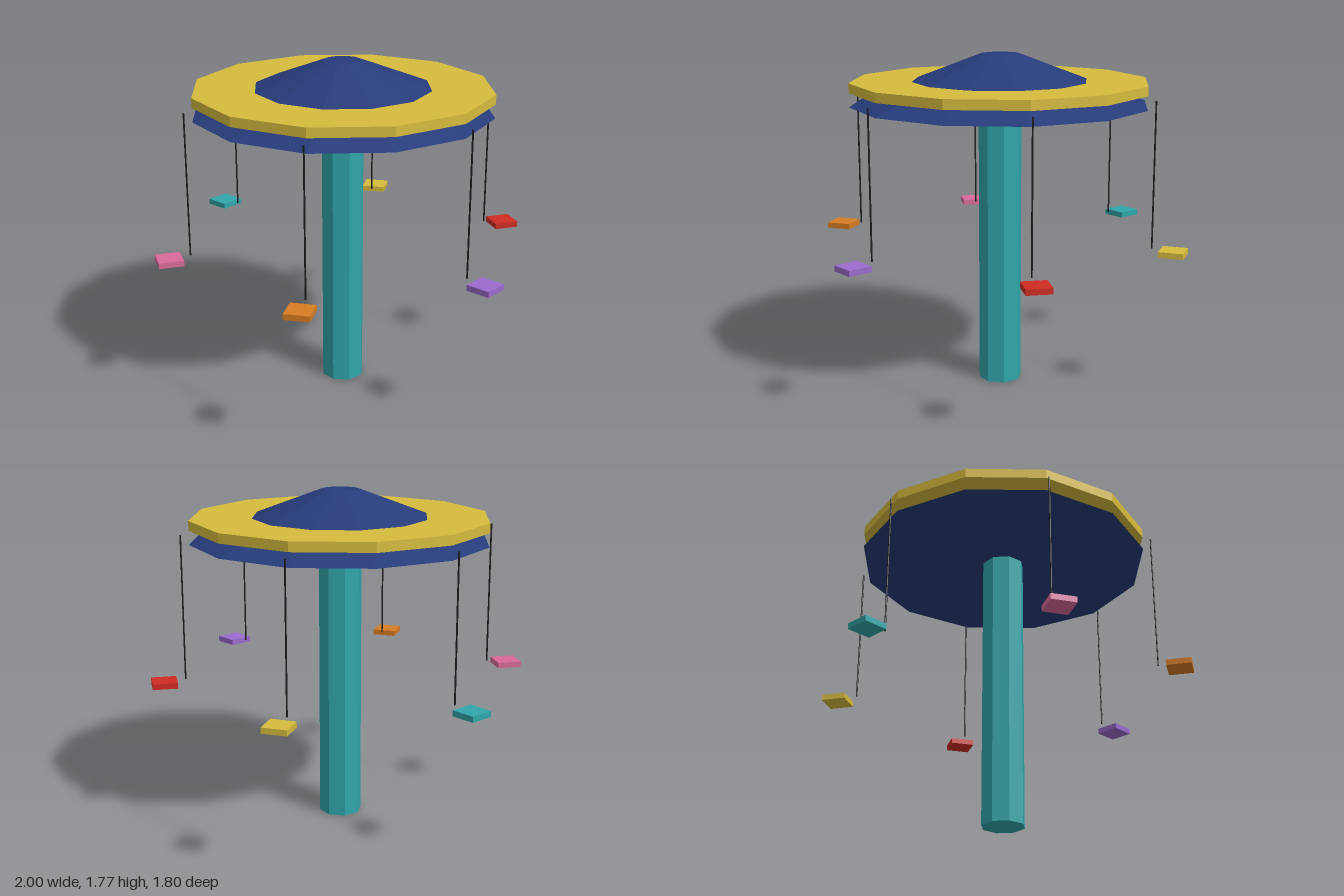
import * as THREE from 'three';

const mat = (name, color) => {
  const m = new THREE.MeshStandardMaterial({ color, flatShading: true });
  m.name = name;
  return m;
};

export function createModel() {
  const teal = mat('teal', 0x30a6aa);
  const navy = mat('navy', 0x263b7a);
  const yellow = mat('yellow', 0xd6bb3e);
  const black = mat('black', 0x1c1c1e);
  const red = mat('red', 0xce2c23);
  const purple = mat('purple', 0x9a6bcc);
  const orange = mat('orange', 0xd67c22);
  const pink = mat('pink', 0xd96a9a);

  const ride = new THREE.Group();
  ride.name = 'swingCarousel';

  const add = (parent, name, geometry, material, x, y) => {
    const mesh = new THREE.Mesh(geometry, material);
    mesh.name = name;
    mesh.position.set(x, y, 0);
    parent.add(mesh);
  };

  // Octagonal pole, twelve-sided canopy and the rim disc it pokes through
  add(ride, 'pole', new THREE.CylinderGeometry(0.114, 0.114, 1.51, 8), teal, 0, 0.755);
  add(ride, 'canopy', new THREE.CylinderGeometry(0.1, 0.783, 0.261, 12), navy, 0, 1.6355);
  add(ride, 'rim', new THREE.CylinderGeometry(0.783, 0.783, 0.05, 12), yellow, 0, 1.603);

  // Six hanging swings, each built along +x and turned into place
  const cableGeometry = new THREE.CylinderGeometry(0.0045, 0.0045, 0.757, 6);
  const seatGeometry = new THREE.BoxGeometry(0.13, 0.03, 0.13);
  [red, purple, orange, pink, teal, yellow].forEach((color, i) => {
    const swing = new THREE.Group();
    swing.name = 'swing' + (i + 1);
    add(swing, 'cable', cableGeometry, black, 0.825, 1.1785);
    add(swing, 'seat', seatGeometry, color, 0.935, 0.785);
    swing.rotation.y = -i * Math.PI / 3;
    ride.add(swing);
  });

  return ride;
}
